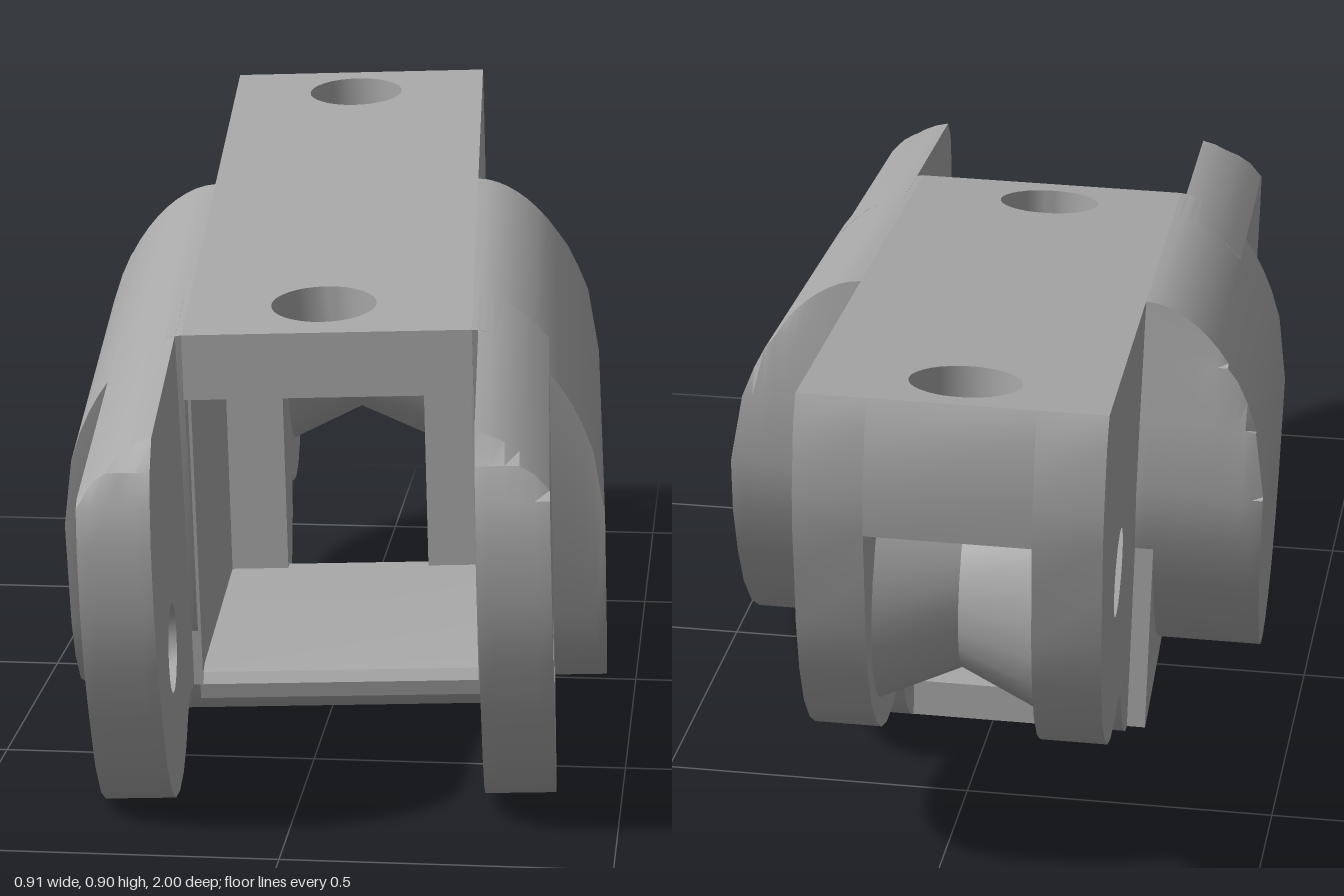
import * as THREE from 'three';
import { toCreasedNormals } from 'three/addons/utils/BufferGeometryUtils.js';

const HALF = 0.23, SLOT = 0.125, CHEEK = 0.435, PIN = 0.07;

// Sloping top of the link, and how far it falls away over the rounded shoulders
const topY = (z) => 0.76 - 0.14 * z;
const shoulderDrop = (x) => {
  const u = Math.min(1, Math.max(0, (Math.abs(x) - HALF) / (CHEEK - HALF)));
  return 0.32 * (1 - Math.pow(1 - Math.pow(u, 1.8), 0.55));
};

export function createModel() {
  const grey = new THREE.MeshStandardMaterial({ color: 0xa8a8a8 });
  grey.name = 'plain grey';
  const link = new THREE.Group();
  link.name = 'link';

  const add = (geometry, name, crease = 0.5) => {
    const mesh = new THREE.Mesh(toCreasedNormals(geometry, crease), grey);
    mesh.name = name;
    link.add(mesh);
    return mesh;
  };

  const hole = (cx, cy, r) => new THREE.Path().absarc(cx, cy, r, 0, Math.PI * 2, true);

  // Side profile in (z, y), extruded from x0 to x1
  const slab = (points, x0, x1, { pin, steps = 1, rounded = false, frontSlope = 0 } = {}) => {
    const shape = new THREE.Shape(points.map(([z, y]) => new THREE.Vector2(z, y)));
    if (pin) shape.holes.push(hole(pin[0], pin[1], PIN));
    const g = new THREE.ExtrudeGeometry(shape, { depth: x1 - x0, steps, bevelEnabled: false, curveSegments: 12 });
    g.rotateY(-Math.PI / 2).translate(x1, 0, 0);
    if (rounded) {
      const p = g.attributes.position;
      for (let i = 0; i < p.count; i++) {
        const z = p.getZ(i), y = p.getY(i);
        const limit = topY(z) - shoulderDrop(p.getX(i));
        if (y > limit) {
          p.setY(i, limit);
          if (z > 0.38) p.setZ(i, z - (y - limit) * frontSlope);
        }
      }
    }
    return g;
  };

  const pair = (points, x0, x1, name, options) => {
    add(slab(points, x0, x1, options), 'left' + name);
    add(slab(points, -x1, -x0, options), 'right' + name);
  };

  // Front fork prongs with pin holes
  pair([
    [0.30, 0.09], [0.46, 0.095], [0.50, 0.075], [0.55, 0.04], [0.61, 0.017], [0.68, 0.01],
    [0.75, 0.02], [0.81, 0.05], [0.87, 0.11], [0.92, 0.20], [0.96, 0.29], [0.98, 0.38],
    [0.985, 0.48], [0.975, 0.54], [0.955, 0.59], [0.91, topY(0.91)], [0.30, topY(0.30)],
  ], 0.24, 0.35, 'Prong', { pin: [0.71, 0.25], steps: 5, rounded: true });

  // Bulging cheeks on both sides
  pair([
    [0.385, 0.20], [0.35, 0.135], [0.29, 0.08], [0.21, 0.05], [0.12, 0.04], [0.04, 0.05],
    [-0.04, 0.075], [-0.12, 0.125], [-0.20, 0.20], [-0.26, 0.285], [-0.31, 0.385],
    [-0.33, 0.48], [-0.325, 0.60], [-0.31, 0.70], [-0.30, topY(-0.30)], [0.47, topY(0.47)],
  ].reverse(), HALF, CHEEK, 'Cheek', { steps: 12, rounded: true, frontSlope: 0.17 });

  // Inner walls of the wide front cavity
  pair([
    [0.37, 0.09], [0.34, 0.05], [0.30, 0.03], [-0.28, 0.03], [-0.30, 0.035],
    [-0.30, 0.70], [0.40, 0.60],
  ], 0.225, 0.26, 'CavityWall');

  // Rear lugs with pin holes, either side of the narrow slot
  pair([
    [-0.30, 0.035], [-0.34, 0.047], [-0.38, 0.07], [-0.43, 0.115], [-0.47, 0.17], [-0.49, 0.235],
    [-0.52, 0.212], [-0.60, 0.20], [-0.67, 0.207], [-0.73, 0.23], [-0.79, 0.27], [-0.85, 0.33],
    [-0.90, 0.41], [-0.94, 0.51], [-0.96, 0.60], [-0.985, 0.69], [-0.99, 0.75],
    [-0.985, 0.85], [-0.965, topY(-0.965)], [-0.30, topY(-0.30)],
  ], SLOT, HALF, 'RearLug', { pin: [-0.65, 0.49] });

  // Rear wall above the slot opening
  add(slab([
    [-0.93, 0.68], [-0.982, 0.68], [-0.99, 0.75], [-0.985, 0.85], [-0.965, topY(-0.965)], [-0.93, topY(-0.93)],
  ], -SLOT, SLOT), 'rearWall');

  // Floor plate with a rounded front lip
  add(slab([
    [0.37, 0.09], [0.365, 0.065], [0.34, 0.045], [0.30, 0.03], [-0.28, 0.03], [-0.33, 0.042],
    [-0.33, 0.105], [0.33, 0.115], [0.36, 0.108],
  ], -HALF, HALF), 'floorPlate');

  // Roof plate with two vertical holes, sheared to the slope
  const plan = new THREE.Shape([
    [-HALF, -0.965], [HALF, -0.965], [HALF, 0.47], [-HALF, 0.47],
  ].map(([x, z]) => new THREE.Vector2(x, z)));
  plan.holes.push(hole(-0.01, 0.335, 0.085), hole(-0.005, -0.84, 0.085));
  const roof = new THREE.ExtrudeGeometry(plan, { depth: 0.105, bevelEnabled: false, curveSegments: 16 });
  roof.rotateX(Math.PI / 2);
  const rp = roof.attributes.position;
  for (let i = 0; i < rp.count; i++) rp.setY(i, rp.getY(i) + topY(rp.getZ(i)));
  add(roof, 'roofPlate');

  // Waisted hollow roller between the rear lugs
  const roller = new THREE.LatheGeometry([
    [PIN, -SLOT], [0.222, -SLOT], [0.165, 0], [0.222, SLOT], [PIN, SLOT], [PIN, -SLOT],
  ].map(([r, y]) => new THREE.Vector2(r, y)), 24);
  roller.rotateZ(Math.PI / 2).translate(0, 0.49, -0.65);
  add(roller, 'roller');

  // Slight twist and tilt of the whole link about its middle
  link.children.forEach((m) => { m.position.y = -0.45; });
  link.rotation.set(0, 0.052, 0.03);
  link.position.y = 0.45;

  const model = new THREE.Group();
  model.name = 'hingeLink';
  model.add(link);
  return model;
}
